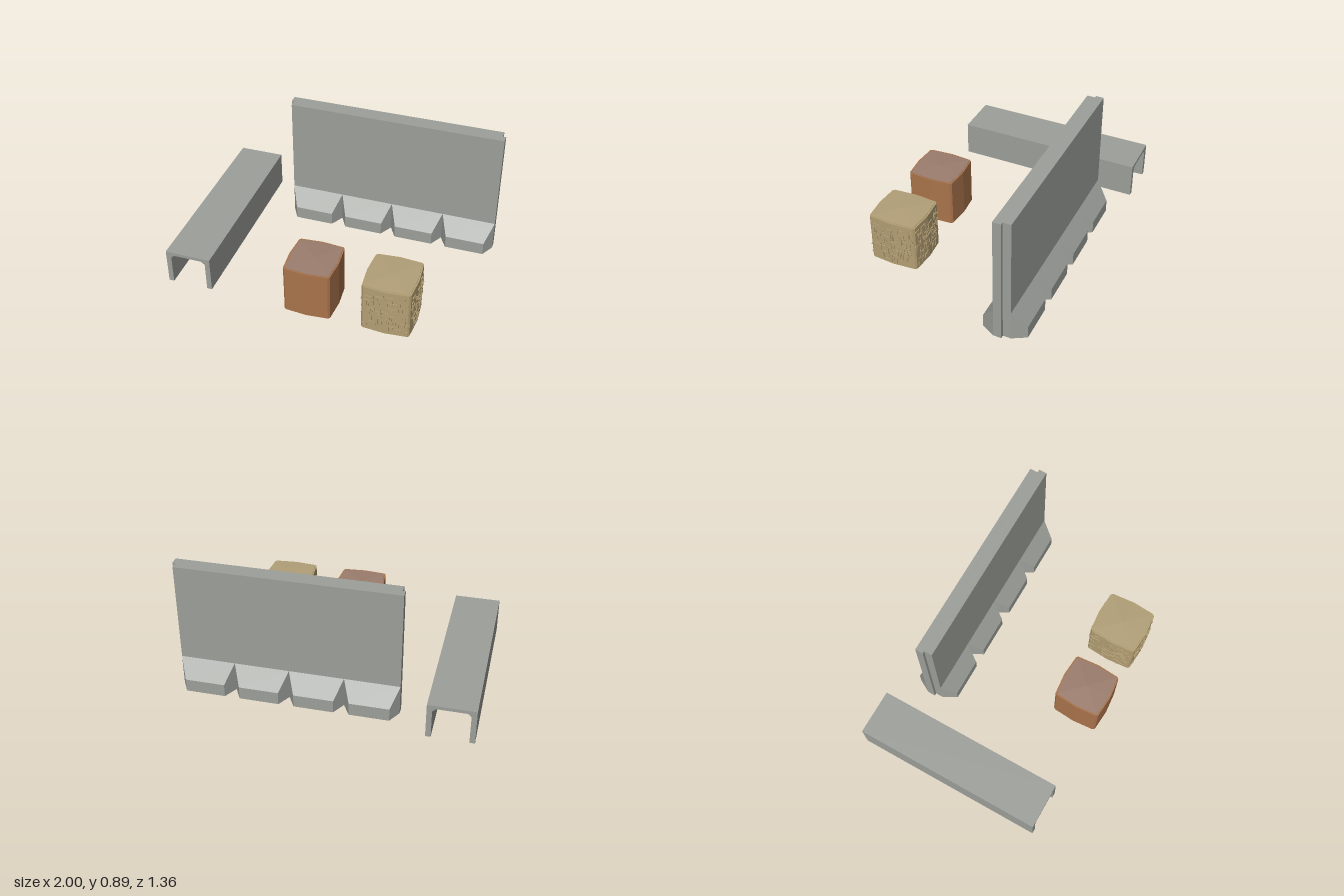
import * as THREE from 'three';
import { mergeGeometries } from 'three/addons/utils/BufferGeometryUtils.js';

const FLOOR = 0.007;

function material(name, color) {
  const m = new THREE.MeshStandardMaterial({ color, flatShading: true });
  m.name = name;
  return m;
}

function addMesh(parent, name, geometry, mat, x = 0, y = 0, z = 0) {
  const mesh = new THREE.Mesh(geometry, mat);
  mesh.name = name;
  mesh.position.set(x, y, z);
  parent.add(mesh);
  return mesh;
}

// Small repeatable number source for the straw
function seeded(seed) {
  return () => {
    seed = (seed * 16807) % 2147483647;
    return seed / 2147483647;
  };
}

// Sloped foot: wide and tall at the wall, narrow and low at its outer end
function footGeometry(width, depth) {
  const g = new THREE.BoxGeometry(width, 1, depth);
  const p = g.attributes.position;
  for (let i = 0; i < p.count; i++) {
    const outer = p.getZ(i) > 0;
    const top = p.getY(i) > 0;
    if (outer) p.setX(i, Math.sign(p.getX(i)) * (width / 2 - 0.051));
    p.setY(i, top ? (outer ? 0.096 : 0.217) : FLOOR);
  }
  g.computeVertexNormals();
  return g;
}

// Twelve-sided block: bulging sides, cut corners and a peaked top
function blockGeometry(hx, hz, height, peak) {
  const g = new THREE.CylinderGeometry(1, 1, height, 12, 1);
  const p = g.attributes.position;
  const stretch = (v, half) => {
    const a = Math.abs(v);
    const k = a > 0.95 ? 1 : a > 0.7 ? 0.93 : a > 0.3 ? 0.86 : 0;
    return Math.sign(v) * k * half;
  };
  for (let i = 0; i < p.count; i++) {
    const x = p.getX(i), z = p.getZ(i);
    if (Math.hypot(x, z) < 0.1 && p.getY(i) > 0) p.setY(i, height / 2 + peak);
    p.setX(i, stretch(x, hx));
    p.setZ(i, stretch(z, hz));
  }
  g.computeVertexNormals();
  return g;
}

function buildBlock(name, x, z, hx, hz, sideMat, topMat) {
  const block = new THREE.Group();
  block.name = name;
  block.position.set(x, 0, z);
  const h = 0.34;
  addMesh(block, 'blockBody', blockGeometry(hx, hz, h, 0), sideMat, 0, FLOOR + h / 2);
  addMesh(block, 'blockTop', blockGeometry(hx * 0.94, hz * 0.94, 0.003, 0.007), topMat, 0, FLOOR + h + 0.0015);
  return block;
}

// Loose straw lying on the four sides of a block
function strawGeometry(hx, hz) {
  const rand = seeded(71);
  const pieces = [];
  for (let side = 0; side < 4; side++) {
    const alongX = side % 2 === 0;
    const out = alongX ? hz : hx;
    const across = alongX ? hx : hz;
    for (let i = 0; i < 80; i++) {
      const length = 0.02 + rand() * 0.035;
      const upright = rand() < 0.6;
      const t = (rand() * 2 - 1) * 0.82;
      const y = FLOOR + 0.03 + rand() * 0.28;
      const g = new THREE.BoxGeometry(upright ? 0.004 : length, upright ? length : 0.004, 0.008);
      g.translate(t * across, y, out * (1 - 0.08 * Math.abs(t)) + 0.001);
      g.rotateY(side * Math.PI / 2);
      pieces.push(g);
    }
  }
  return mergeGeometries(pieces);
}

export function createModel() {
  const model = new THREE.Group();
  model.name = 'barrierSet';
  const concrete = material('concrete grey', 0x9c9f9a);
  const brown = material('rust brown', 0xa9734b);
  const brownTop = material('dusty brown', 0x9c7e6e);
  const straw = material('straw', 0xb39f73);
  const strawTop = material('pale straw', 0xb2a078);

  // Wall of two staggered slabs, each with a row of four sloped feet
  const wall = new THREE.Group();
  wall.name = 'barrierWall';
  model.add(wall);
  const halves = [
    { name: 'front', x0: -0.474, x1: 1.0, inner: -0.44, face: -0.385, tip: -0.293 },
    { name: 'back', x0: -0.492, x1: 0.978, inner: -0.44, face: -0.494, tip: -0.585 },
  ];
  for (const s of halves) {
    const height = 0.894 - FLOOR;
    addMesh(wall, s.name + 'Slab',
      new THREE.BoxGeometry(s.x1 - s.x0, height, Math.abs(s.face - s.inner)), concrete,
      (s.x0 + s.x1) / 2, FLOOR + height / 2, (s.face + s.inner) / 2);
    const pitch = (s.x1 - s.x0) / 4;
    const foot = footGeometry(pitch, Math.abs(s.tip - s.face));
    for (let i = 0; i < 4; i++) {
      const mesh = addMesh(wall, s.name + 'Foot', foot, concrete,
        s.x0 + pitch * (i + 0.5), 0, (s.face + s.tip) / 2);
      if (s.name === 'back') mesh.rotation.y = Math.PI;
    }
  }

  // Upside-down channel with small chamfers inside
  const [l, r, top, t, roof, c] = [-1, -0.688, 0.252, 0.035, 0.023, 0.022];
  const profile = new THREE.Shape([
    [l, FLOOR], [l + t, FLOOR], [l + t, top - roof - c], [l + t + c, top - roof],
    [r - t - c, top - roof], [r - t, top - roof - c], [r - t, FLOOR], [r, FLOOR],
    [r, top], [l, top],
  ].map(([x, y]) => new THREE.Vector2(x, y)));
  addMesh(model, 'channel',
    new THREE.ExtrudeGeometry(profile, { depth: 1.312, bevelEnabled: false }),
    concrete, 0, 0, -0.68);

  // Plain block and straw-covered block
  model.add(buildBlock('brownBlock', -0.008, 0.497, 0.168, 0.174, brown, brownTop));
  const bale = buildBlock('strawBale', 0.516, 0.495, 0.171, 0.18, straw, strawTop);
  addMesh(bale, 'looseStraw', strawGeometry(0.171, 0.18), straw);
  model.add(bale);

  return model;
}
